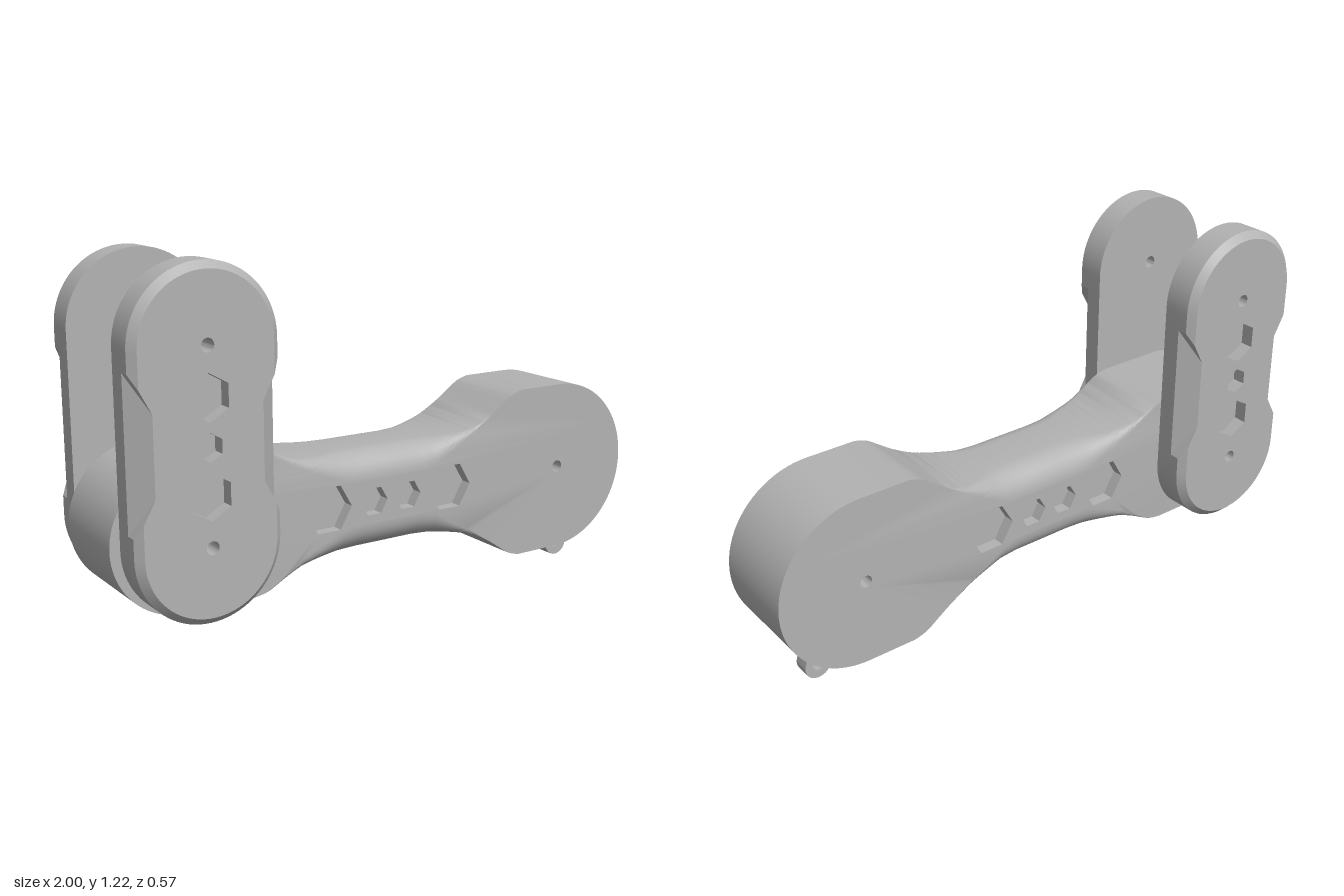
import * as THREE from 'three';
import { mergeGeometries, toCreasedNormals } from 'three/addons/utils/BufferGeometryUtils.js';

const V2 = (x, y) => new THREE.Vector2(x, y);
const grey = new THREE.MeshStandardMaterial({ color: 0xb2b2b2 });
grey.name = 'grey';

const MID = 0.387;        // height of the arm's centre line
const HALF = 0.155;       // half thickness of the arm

// Counter-clockwise regular polygon, used for round and hexagonal holes
function polygon(x, y, r, n, turn = 0) {
  return Array.from({ length: n }, (_, i) => {
    const a = turn + (i / n) * Math.PI * 2;
    return V2(x + r * Math.cos(a), y + r * Math.sin(a));
  });
}
const round = (x, y, r = 0.021) => polygon(x, y, r, 20);

// Points of an arc
function arc(x, y, r, from, to, n) {
  return Array.from({ length: n + 1 }, (_, i) => {
    const a = from + ((to - from) * i) / n;
    return V2(x + r * Math.cos(a), y + r * Math.sin(a));
  });
}

// Flat face at depth z, facing +z, or -z when flipped
function cap(points, holes, z, flip) {
  const shape = new THREE.Shape(points);
  shape.holes = holes.map((h) => new THREE.Path(h));
  const g = new THREE.ShapeGeometry(shape).translate(0, 0, z);
  if (flip) g.setIndex(Array.from(g.index.array).reverse());
  return g;
}

// Closed band through rings of [x, y, z] points
function band(rings) {
  const n = rings[0].length;
  const index = [];
  for (let r = 0; r < rings.length - 1; r++) {
    for (let i = 0; i < n; i++) {
      const j = (i + 1) % n;
      const a = r * n + i, b = r * n + j;
      index.push(a, b, b + n, a, b + n, a + n);
    }
  }
  const g = new THREE.BufferGeometry();
  g.setAttribute('position', new THREE.Float32BufferAttribute(rings.flat(2), 3));
  g.setIndex(index);
  return g;
}
const ring = (points, z) => points.map((p) => [p.x, p.y, z]);

// Inner wall of a hole that runs from z = high down to z = low
const bore = (points, low, high) => band([ring(points, high), ring(points, low)]);

function part(name, pieces, crease = 0.6) {
  const plain = pieces.map((g) => {
    const p = g.toNonIndexed();
    p.deleteAttribute('uv');
    p.deleteAttribute('normal');
    return p;
  });
  const mesh = new THREE.Mesh(toCreasedNormals(mergeGeometries(plain), crease), grey);
  mesh.name = name;
  return mesh;
}

// Piecewise linear lookup
function lookup(table, x) {
  if (x <= table[0][0]) return table[0][1];
  for (let i = 1; i < table.length; i++) {
    const [x0, y0] = table[i - 1], [x1, y1] = table[i];
    if (x <= x1) return y0 + ((y1 - y0) * (x - x0)) / (x1 - x0);
  }
  return table[table.length - 1][1];
}

// Arm: two round ends joined by a neck with rounded edges
function arm() {
  const waist = new THREE.SplineCurve([
    [-0.53, 0.237], [-0.48, 0.226], [-0.41, 0.194], [-0.35, 0.176], [-0.27, 0.167], [-0.15, 0.166],
    [0, 0.166], [0.12, 0.166], [0.22, 0.17], [0.31, 0.185], [0.38, 0.214], [0.44, 0.253],
    [0.485, 0.283], [0.53, 0.297],
  ].map(([x, y]) => V2(x, y))).getPoints(78);
  const flatHeight = [[-0.5, 0.24], [-0.47, 0.222], [-0.35, 0.145], [-0.2, 0.085], [-0.13, 0.075],
    [0.1, 0.075], [0.17, 0.088], [0.3, 0.16], [0.42, 0.24], [0.45, 0.3]];

  const outer = [
    ...waist.map((p) => V2(p.x, MID - p.y)),
    ...arc(0.703, MID, 0.297, -Math.PI / 2, Math.PI / 2, 40),
    ...[...waist].reverse().map((p) => V2(p.x, MID + p.y)),
    ...arc(-0.763, MID, 0.237, Math.PI / 2, Math.PI * 1.5, 40),
  ];
  const flat = outer.map((p) => {
    if (p.x < -0.5 || p.x > 0.45) return p.clone();
    const h = Math.abs(p.y - MID);
    return V2(p.x, MID + Math.sign(p.y - MID) * Math.min(h, lookup(flatHeight, p.x)));
  });

  // Each side of the wall follows an elliptical quarter round
  const rings = [];
  const steps = 8;
  for (const side of [-1, 1]) {
    for (let k = 0; k <= steps; k++) {
      const t = ((side < 0 ? k : steps - k) / steps) * (Math.PI / 2);
      rings.push(outer.map((p, i) => {
        const f = flat[i].y, drop = Math.min(0.09, Math.abs(p.y - f));
        return [p.x, f + (p.y - f) * Math.sin(t), side * (HALF - drop * (1 - Math.cos(t)))];
      }));
    }
  }

  const bolts = [round(0.7, MID), round(-0.735, MID)];
  const hexes = [[-0.255, 0.085], [-0.082, 0.051], [0.05, 0.051], [0.222, 0.085]]
    .map(([x, r]) => polygon(x, MID, r, 6));
  const holes = [...bolts, ...hexes];
  const depth = HALF - 0.04;
  return part('arm', [
    band(rings),
    cap(flat, holes, HALF, false),
    cap(flat, holes, -HALF, true),
    ...bolts.map((b) => bore(b, -HALF, HALF)),
    ...hexes.flatMap((h) => [
      bore(h, depth, HALF), cap(h, [], depth, false),
      bore(h, -HALF, -depth), cap(h, [], -depth, true),
    ]),
  ]);
}

// Side plate: chamfered capsule with a sloped cut on each long edge
function sidePlate(name) {
  const cx = -0.735, r = 0.237, low = MID, high = 0.983;
  const inner = 0.168, outer = 0.287, chamfer = 0.023, cutStart = 0.23;
  const cut = [[0.45, 0], [0.56, 0.062], [0.805, 0.062], [0.92, 0]];
  const stations = [0.45, 0.491, 0.56, 0.805, 0.877, 0.92];
  const outline = [
    ...arc(cx, low, r, Math.PI, Math.PI * 2, 40),
    ...stations.map((y) => V2(cx + r, y)),
    ...arc(cx, high, r, 0, Math.PI, 40),
    ...[...stations].reverse().map((y) => V2(cx - r, y)),
  ];
  // Profile of [inset, z] at each point of the outline
  const profiles = outline.map((p) => {
    const d = lookup(cut, p.y);
    return [
      [0, inner], [0, cutStart], [d, cutStart + (d * (outer - cutStart)) / 0.062],
      [d, Math.min(outer, outer - chamfer + d)], [Math.max(d, chamfer), outer],
    ];
  });
  const rings = [0, 1, 2, 3, 4].map((k) => outline.map((p, i) => {
    const [inset, z] = profiles[i][k];
    const axis = V2(cx, THREE.MathUtils.clamp(p.y, low, high));
    const q = p.clone().sub(axis).multiplyScalar(1 - inset / r).add(axis);
    return [q.x, q.y, z];
  }));

  const bolts = [round(cx, low), round(cx, high)];
  const hexes = [[0.54, 0.072], [0.686, 0.044], [0.832, 0.072]]
    .map(([y, s]) => polygon(cx, y, s, 6, Math.PI / 2));
  const floor = outer - 0.045;
  return part(name, [
    band(rings),
    cap(rings[4].map(([x, y]) => V2(x, y)), [...bolts, ...hexes], outer, false),
    cap(outline, bolts, inner, true),
    ...bolts.map((b) => bore(b, inner, outer)),
    ...hexes.flatMap((h) => [bore(h, floor, outer), cap(h, [], floor, false)]),
  ], 0.4);
}

// Small eyelet under the large end
function eyelet() {
  const tilt = 0.27, x = 0.82, y = 0.047, r = 0.047;
  const up = V2(-Math.sin(tilt), Math.cos(tilt)).multiplyScalar(0.12);
  const foot = arc(x, y, r, Math.PI + tilt, Math.PI * 2 + tilt, 20);
  const outline = [...foot, foot[20].clone().add(up), foot[0].clone().add(up)];
  const hole = round(x, y + 0.002);
  const t = 0.028;
  return part('eyelet', [
    band([ring(outline, -t), ring(outline, t)]),
    cap(outline, [hole], t, false),
    cap(outline, [hole], -t, true),
    bore(hole, -t, t),
  ]);
}

export function createModel() {
  const model = new THREE.Group();
  model.name = 'linkArm';
  const back = new THREE.Group();
  back.name = 'backPlateMount';
  back.add(sidePlate('backPlate'));
  // Half turn about the plate's own vertical axis
  back.rotation.y = Math.PI;
  back.position.x = -0.735 * 2;
  model.add(arm(), sidePlate('frontPlate'), back, eyelet());
  return model;
}
